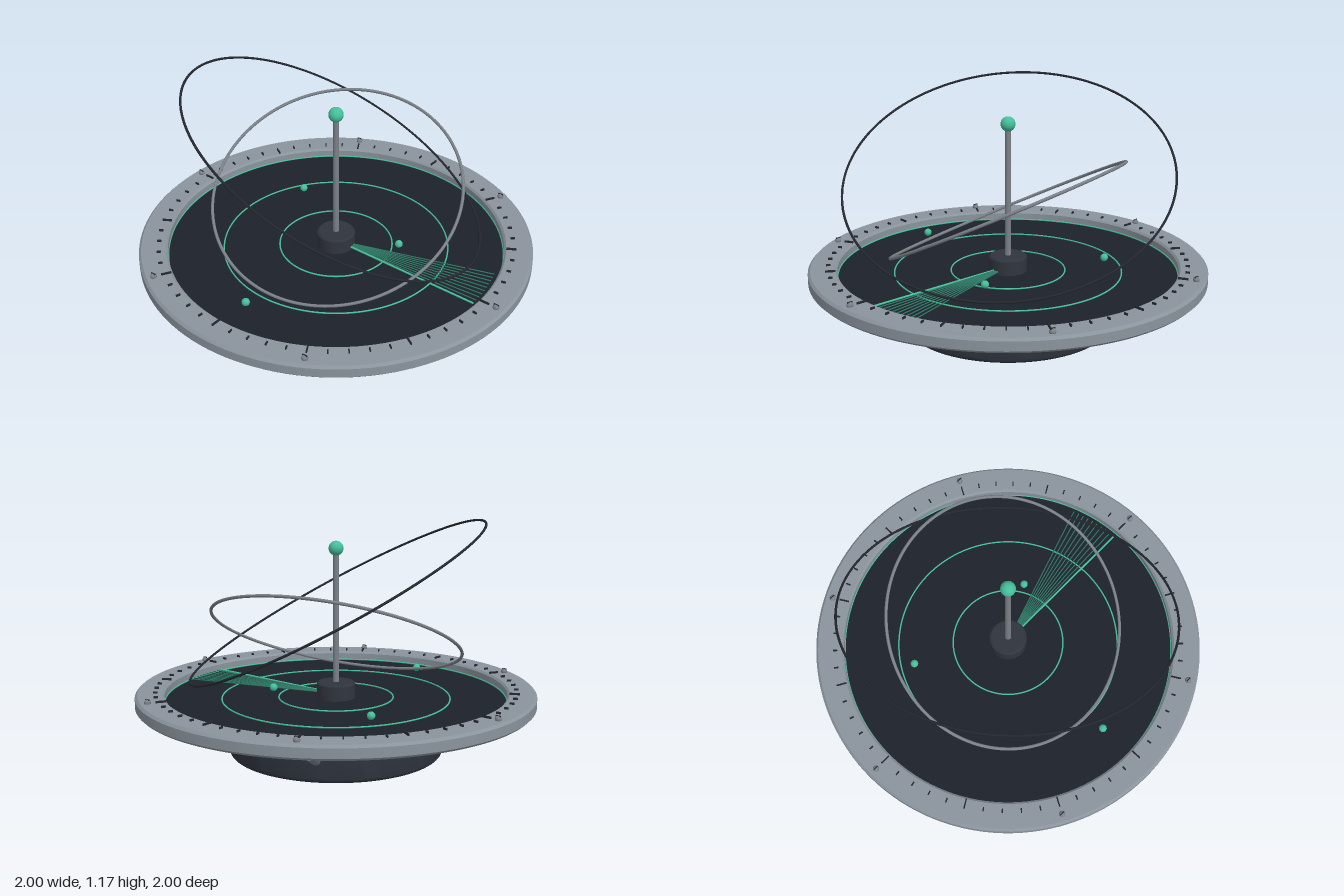
import * as THREE from 'three';
import { toCreasedNormals } from 'three/addons/utils/BufferGeometryUtils.js';

const mat = (color) => new THREE.MeshStandardMaterial({ color });
const M = {
  base: mat(0x2f353f), disc: mat(0x1b212a), rim: mat(0x8a949d), hub: mat(0x30353d),
  metal: mat(0x7b8188), dark: mat(0x24282e), green: mat(0x45bf9a), dimGreen: mat(0x2c7562),
};

export function createModel() {
  const root = new THREE.Group();
  root.name = 'radarDish';

  const add = (name, geometry, material, x = 0, y = 0, z = 0, parent = root) => {
    const mesh = new THREE.Mesh(geometry, material);
    mesh.name = name;
    mesh.position.set(x, y, z);
    parent.add(mesh);
    return mesh;
  };
  const group = (name) => {
    const g = new THREE.Group();
    g.name = name;
    root.add(g);
    return g;
  };
  const lathe = (points, segments = 96) => toCreasedNormals(
    new THREE.LatheGeometry(points.map(([r, y]) => new THREE.Vector2(r, y)), segments), 0.6);
  const rod = (name, a, b, radius, material, parent) => {
    const dir = b.clone().sub(a);
    const mesh = add(name, new THREE.CylinderGeometry(radius, radius, dir.length(), 16), material, 0, 0, 0, parent);
    mesh.position.copy(a).add(b).multiplyScalar(0.5);
    mesh.quaternion.setFromUnitVectors(new THREE.Vector3(0, 1, 0), dir.normalize());
    return mesh;
  };
  const ring = (name, radius, tube, normal, y, material) => {
    const mesh = add(name, new THREE.TorusGeometry(radius, tube, 8, 160), material, 0, y, 0);
    mesh.quaternion.setFromUnitVectors(new THREE.Vector3(0, 0, 1), new THREE.Vector3(...normal).normalize());
    return mesh;
  };

  // Base drum with rounded edges
  const drum = [[0, 0]];
  const R = 0.54, H = 0.225, c = 0.03;
  for (let i = 0; i <= 6; i++) {
    const a = (i / 6) * Math.PI / 2;
    drum.push([R - c + c * Math.sin(a), c - c * Math.cos(a)]);
  }
  for (let i = 0; i <= 6; i++) {
    const a = (i / 6) * Math.PI / 2;
    drum.push([R - c + c * Math.cos(a), H - c + c * Math.sin(a)]);
  }
  drum.push([0, H]);
  add('baseDrum', lathe(drum), M.base);
  add('baseCollar', new THREE.CylinderGeometry(0.3, 0.3, 0.03, 48), M.base, 0, 0.23, 0);

  // Three struts leaning out from the drum
  const struts = group('struts');
  for (let i = 0; i < 3; i++) {
    const a = (i * Math.PI * 2) / 3;
    const at = (r, y) => new THREE.Vector3(r * Math.cos(a), y, r * Math.sin(a));
    rod('strut', at(0.5, 0.098), at(0.692, 0.185), 0.023, M.metal, struts);
  }

  // Dark plate inside a bevelled rim
  add('plate', new THREE.CylinderGeometry(0.875, 0.875, 0.045, 128), M.disc, 0, 0.2575, 0);
  add('rim', lathe([
    [0.855, 0.27], [0.865, 0.26], [0.988, 0.26], [1, 0.272], [1, 0.318],
    [0.988, 0.33], [0.865, 0.33], [0.855, 0.32], [0.855, 0.27],
  ], 128), M.rim);

  // Scale marks around the rim, every fifth one long
  const marks = group('scaleMarks');
  for (let i = 0; i < 60; i++) {
    const a = (i * Math.PI) / 30;
    const major = i % 5 === 0;
    const r = major ? 0.89 : 0.9;
    const mark = add('scaleMark', new THREE.BoxGeometry(major ? 0.05 : 0.022, 0.012, 0.006),
      M.dark, r * Math.cos(a), 0.334, r * Math.sin(a), marks);
    mark.rotation.y = -a;
  }

  // Slotted screws on the rim
  const screws = group('screws');
  for (let i = 0; i < 6; i++) {
    const a = (i * Math.PI) / 3;
    const x = 0.953 * Math.cos(a), z = 0.953 * Math.sin(a);
    add('screwHead', new THREE.SphereGeometry(0.016, 16, 10), M.metal, x, 0.336, z, screws);
    add('screwSlot', new THREE.BoxGeometry(0.026, 0.006, 0.005), M.dark, x, 0.35, z, screws);
  }

  // Range circles on the plate
  for (const r of [0.288, 0.573, 0.855]) ring('rangeCircle', r, 0.004, [0, 1, 0], 0.284, M.green);

  // Sweep: a bright leading line followed by a fan of fine ones
  const sweep = group('sweep');
  for (let i = 0; i < 10; i++) {
    const a = (i * Math.PI) / 90;
    const at = (r) => new THREE.Vector3(r * Math.cos(a), 0.298, -r * Math.sin(a));
    rod('sweepLine', at(0.08), at(0.83), i ? 0.003 : 0.005, i ? M.dimGreen : M.green, sweep);
  }

  // Target blips
  for (const [x, z] of [[-0.43, -0.26], [0.285, -0.155], [-0.01, 0.677]]) {
    add('blip', new THREE.SphereGeometry(0.02, 20, 14), M.green, x, 0.314, z);
  }

  // Hub, mast and tip
  add('hub', lathe([[0, 0.28], [0.097, 0.28], [0.097, 0.352], [0.088, 0.361], [0, 0.361]], 48), M.hub);
  add('mast', new THREE.CylinderGeometry(0.014, 0.016, 0.68, 20), M.metal, 0, 0.69, 0);
  add('mastTip', new THREE.SphereGeometry(0.037, 32, 20), M.green, 0, 1.034, 0);

  // Tilted orbit rings
  ring('outerOrbit', 0.826, 0.006, [0.368, 0.88, -0.298], 0.775, M.dark);
  ring('innerOrbit', 0.633, 0.008, [0.13, 0.895, 0.425], 0.597, M.metal);

  return root;
}
